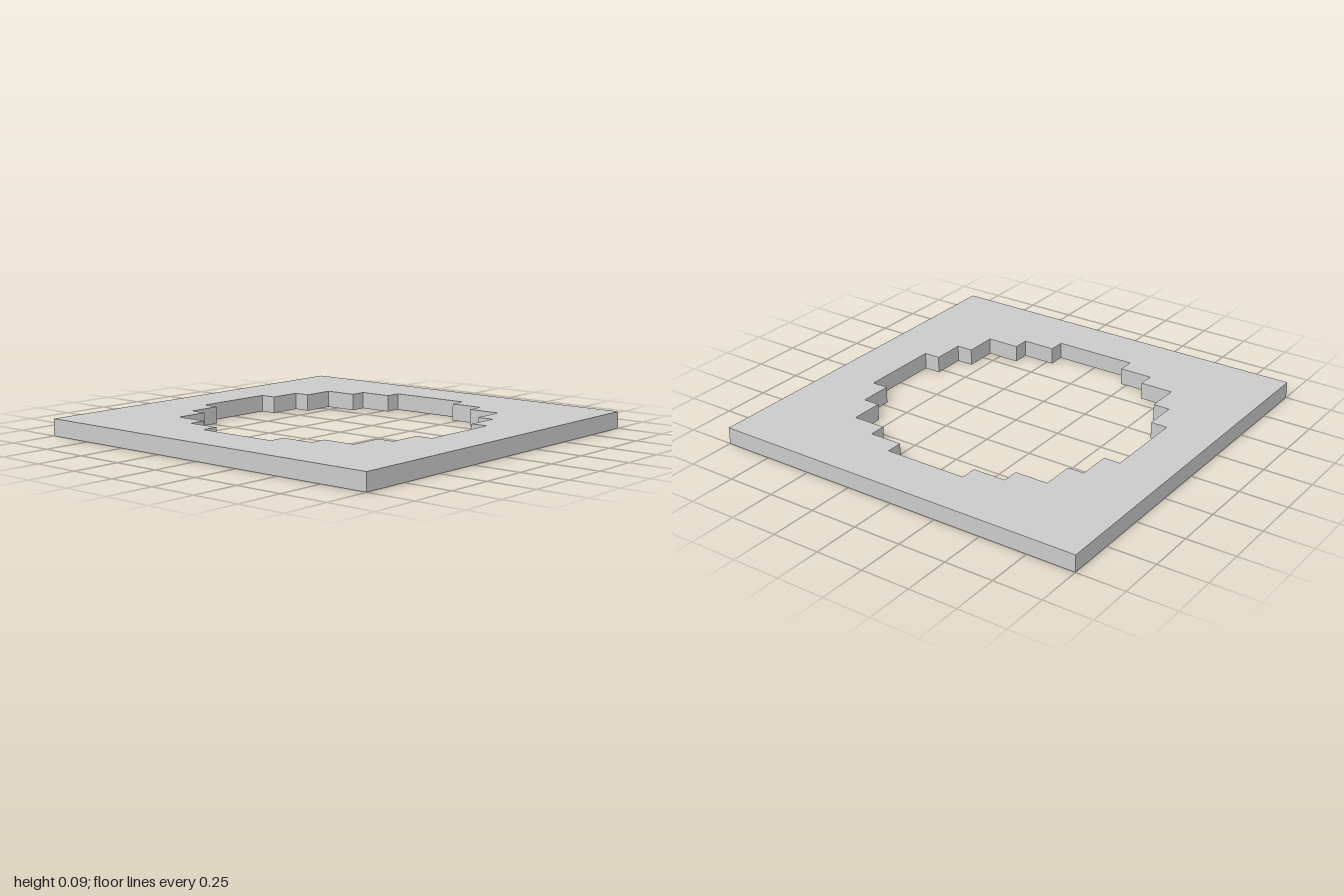
import * as THREE from 'three';

const CELL = 2 / 23; // the plate is 23 blocks wide and one block thick

export function createModel() {
  const group = new THREE.Group();
  group.name = 'steppedRingPlate';

  // Square outline
  const outline = new THREE.Shape([
    new THREE.Vector2(-1, -1), new THREE.Vector2(1, -1),
    new THREE.Vector2(1, 1), new THREE.Vector2(-1, 1),
  ]);

  // Stepped round opening: one quarter in blocks from the centre, turned four times
  const quarter = [
    [8.5, 2.5], [7.5, 2.5], [7.5, 4.5], [6.5, 4.5], [6.5, 6.5],
    [4.5, 6.5], [4.5, 7.5], [2.5, 7.5], [2.5, 8.5],
  ];
  const opening = [];
  for (let turn = 0; turn < 4; turn++) {
    for (const [a, b] of quarter) {
      let x = a * CELL, y = b * CELL;
      for (let i = 0; i < turn; i++) [x, y] = [-y, x];
      opening.push(new THREE.Vector2(x, y));
    }
  }
  outline.holes.push(new THREE.Path(opening.reverse()));

  // Lay the extruded plate flat on the ground
  const geometry = new THREE.ExtrudeGeometry(outline, { depth: CELL, bevelEnabled: false });
  geometry.rotateX(-Math.PI / 2);

  const plate = new THREE.Mesh(
    geometry,
    new THREE.MeshStandardMaterial({ color: 0xcccccc, flatShading: true }),
  );
  plate.name = 'plate';
  group.add(plate);
  return group;
}
